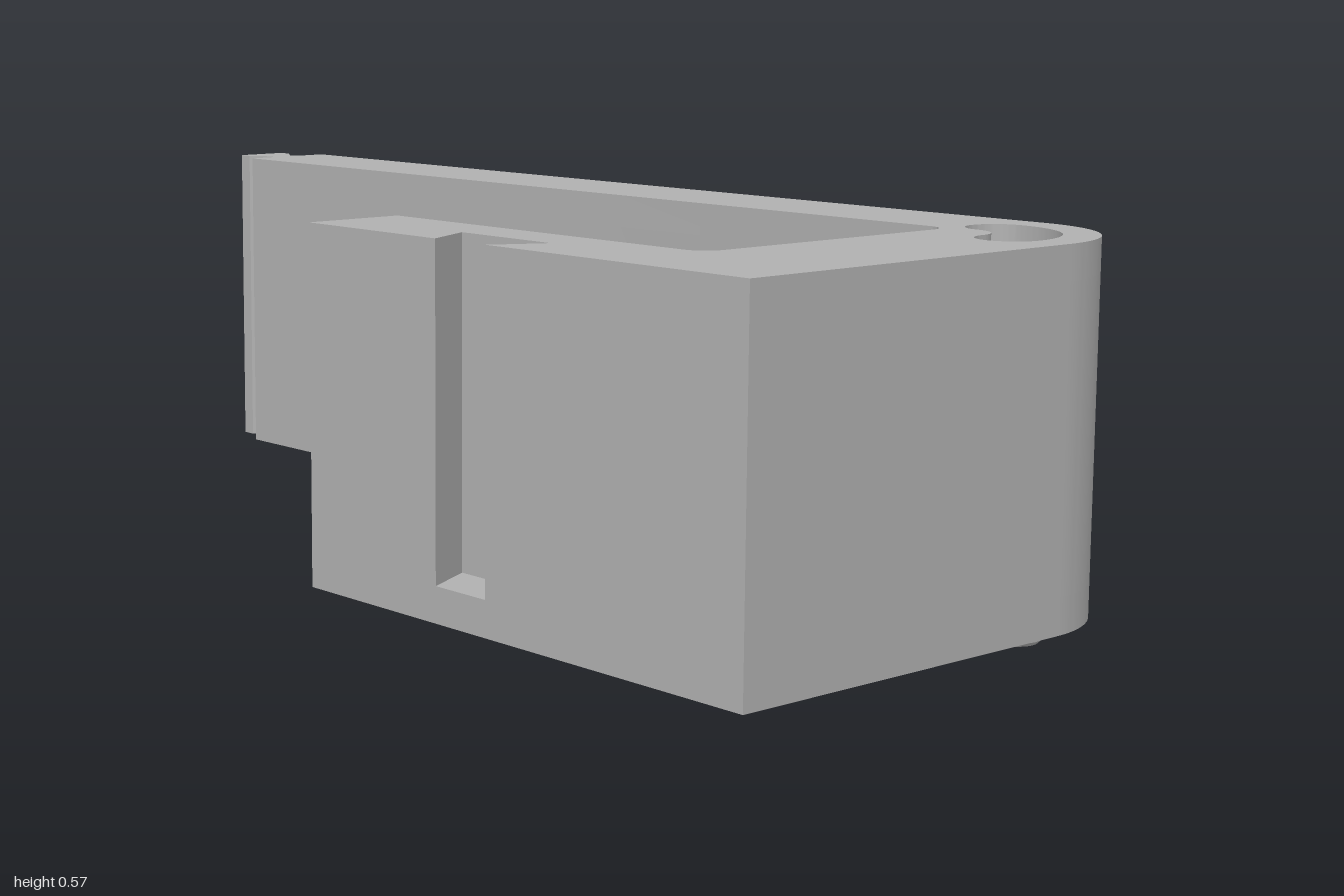
import * as THREE from 'three';
import { toCreasedNormals } from 'three/addons/utils/BufferGeometryUtils.js';

const BOTTOM = 0.043, FLOOR = 0.096, RECESS = 0.525, TOP = 0.575;

// Outline in plan, drawn with shape y = -z. The floor layer fills the bay; the walls leave it open.
function outline(isFloor) {
  const s = new THREE.Shape();
  const line = (...pts) => pts.forEach(([x, y]) => s.lineTo(x, y));
  s.moveTo(-0.4, -1);
  s.lineTo(0.2, -1);
  s.absarc(0.2, -0.8, 0.2, -Math.PI / 2, 0, false);
  // arm end with dovetail tenon
  line([0.4, 0.92], [0.349, 0.92], [0.339, 0.938], [0.364, 0.975], [0.364, 1],
    [0.272, 1], [0.272, 0.975], [0.297, 0.938], [0.287, 0.92], [0.24, 0.92]);
  if (isFloor) {
    s.absarc(0.21, -0.095, 0.03, 0, -Math.PI / 2, true);
    line([-0.4, -0.125]);
  } else {
    // bay with rounded corners, then the dovetail socket
    s.absarc(0.205, -0.725, 0.035, 0, -Math.PI / 2, true);
    s.absarc(-0.205, -0.725, 0.035, -Math.PI / 2, -Math.PI, true);
    line([-0.24, -0.125], [-0.4, -0.125],
      [-0.4, -0.41], [-0.32, -0.37], [-0.32, -0.555], [-0.4, -0.515]);
  }
  s.closePath();
  return s;
}

// Kidney-shaped recess following the rounded corner
function kidney() {
  const p = new THREE.Path();
  p.absarc(0.2, -0.8, 0.148, -Math.PI / 2, 0, false);
  p.absarc(0.3, -0.8, 0.048, 0, Math.PI, false);
  p.absarc(0.2, -0.8, 0.052, 0, -Math.PI / 2, true);
  p.absarc(0.2, -0.9, 0.048, Math.PI / 2, Math.PI * 1.5, false);
  return p;
}

export function createModel() {
  const group = new THREE.Group();
  const grey = new THREE.MeshStandardMaterial({ color: 0xb0b0b0 });
  grey.name = 'plain grey';

  const add = (name, geometry) => {
    const mesh = new THREE.Mesh(toCreasedNormals(geometry, 0.5), grey);
    mesh.name = name;
    group.add(mesh);
  };
  const layer = (name, shape, y0, y1) => {
    const g = new THREE.ExtrudeGeometry(shape, { depth: y1 - y0, bevelEnabled: false, curveSegments: 20 });
    add(name, g.rotateX(-Math.PI / 2).translate(0, y0, 0));
  };

  layer('floor', outline(true), BOTTOM, FLOOR);
  layer('walls', outline(false), FLOOR, RECESS);
  const rim = outline(false);
  rim.holes.push(kidney());
  layer('rim', rim, RECESS, TOP);

  // chamfered peg under the rounded corner
  const profile = [[0, 0], [0.033, 0], [0.039, 0.006], [0.039, BOTTOM + 0.002]]
    .map(([r, y]) => new THREE.Vector2(r, y));
  add('peg', new THREE.LatheGeometry(profile, 32).translate(0.27, 0, 0.872));

  return group;
}
